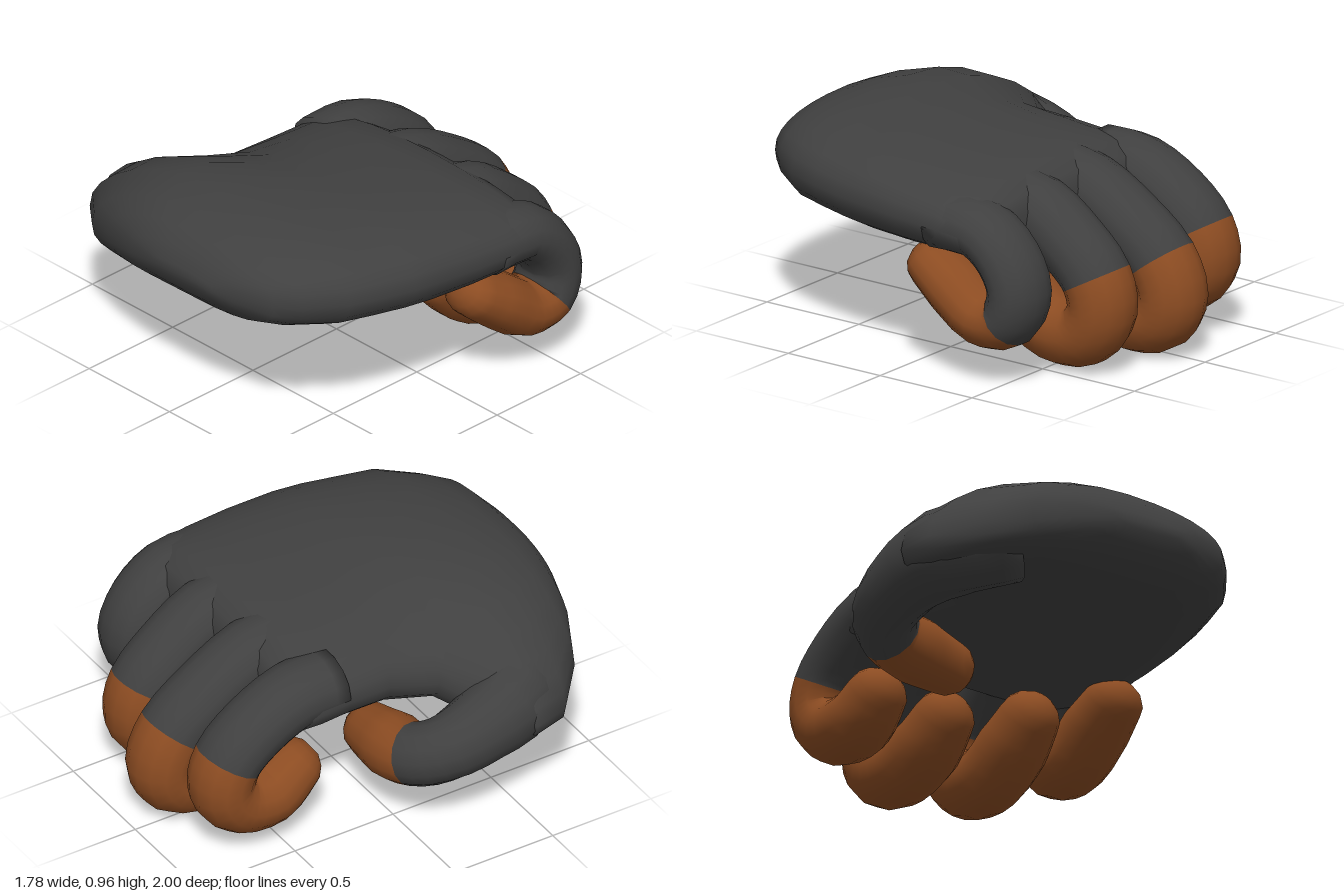
import * as THREE from 'three';

const SIDES = 14, STEPS = 3;

// Stitch rings of equal size into a closed skin; rings from splitRing on use the second material.
function skinRings(rings, splitRing = Infinity) {
  const n = rings[0].length, pos = [], glove = [], bare = [];
  rings.forEach(r => r.forEach(p => pos.push(p.x, p.y, p.z)));
  for (let i = 0; i < rings.length - 1; i++) {
    const out = i < splitRing ? glove : bare;
    for (let j = 0; j < n; j++) {
      const a = i * n + j, b = i * n + (j + 1) % n;
      out.push(a, b, b + n, a, b + n, a + n);
    }
  }
  // Close both ends with a centre point
  const cap = (ring, base, flip, out) => {
    const c = ring.reduce((s, p) => s.add(p), new THREE.Vector3()).divideScalar(n);
    const k = pos.length / 3;
    pos.push(c.x, c.y, c.z);
    for (let j = 0; j < n; j++) {
      const a = base + j, b = base + (j + 1) % n;
      out.push(...(flip ? [k, b, a] : [k, a, b]));
    }
  };
  cap(rings[0], 0, true, glove);
  cap(rings.at(-1), (rings.length - 1) * n, false, splitRing < Infinity ? bare : glove);
  const g = new THREE.BufferGeometry();
  g.setAttribute('position', new THREE.Float32BufferAttribute(pos, 3));
  g.setIndex([...glove, ...bare]);
  g.addGroup(0, glove.length, 0);
  if (bare.length) g.addGroup(glove.length, bare.length, 1);
  g.computeVertexNormals();
  return g;
}

// Sweep an oval along a path and finish it with a rounded tip.
// Each radius is [along ref, across ref]; split is the path point where the glove ends.
function digit(points, radii, ref, split) {
  const curve = new THREE.CatmullRomCurve3(points);
  const segs = points.length - 1, rings = [];
  const ring = (c, t, ra, rb) => {
    const a = ref.clone().addScaledVector(t, -ref.dot(t)).normalize();
    const b = t.clone().cross(a);
    rings.push(Array.from({ length: SIDES }, (_, j) => {
      const w = j / SIDES * Math.PI * 2;
      return c.clone().addScaledVector(a, ra * Math.cos(w)).addScaledVector(b, rb * Math.sin(w));
    }));
  };
  for (let i = 0; i <= segs * STEPS; i++) {
    const k = Math.min(Math.floor(i / STEPS), segs - 1), f = i / STEPS - k;
    const u = i / (segs * STEPS);
    const r = [0, 1].map(m => THREE.MathUtils.lerp(radii[k][m], radii[k + 1][m], f));
    ring(curve.getPoint(u), curve.getTangent(u), r[0], r[1]);
  }
  const end = curve.getPoint(1), dir = curve.getTangent(1), [ra, rb] = radii[segs];
  for (const w of [0.4, 0.8, 1.2]) {
    ring(end.clone().addScaledVector(dir, rb * 0.95 * Math.sin(w)), dir, ra * Math.cos(w), rb * Math.cos(w));
  }
  return skinRings(rings, split * STEPS);
}

export function createModel() {
  const group = new THREE.Group();
  const glove = new THREE.MeshStandardMaterial({ name: 'charcoal glove', color: 0x404040 });
  const skin = new THREE.MeshStandardMaterial({ name: 'brown skin', color: 0x8c4c22 });
  const add = (name, geometry) => {
    const mesh = new THREE.Mesh(geometry, [glove, skin]);
    mesh.name = name;
    group.add(mesh);
  };

  // Palm: rounded sections from wrist to knuckles [z, left x, right x, top, bottom, thumb-side drop]
  const sections = [
    [1.0, -0.1, 0.27, 0.76, 0.69, 0],
    [0.97, -0.28, 0.38, 0.83, 0.63, 0.03],
    [0.91, -0.48, 0.56, 0.89, 0.57, 0.07],
    [0.82, -0.67, 0.65, 0.925, 0.53, 0.14],
    [0.66, -0.85, 0.77, 0.96, 0.5, 0.2],
    [0.5, -0.88, 0.82, 0.955, 0.49, 0.21],
    [0.35, -0.7, 0.86, 0.945, 0.49, 0.16],
    [0.22, -0.53, 0.88, 0.935, 0.49, 0.08],
    [0.0, -0.48, 0.9, 0.91, 0.49, 0.03],
    [-0.2, -0.48, 0.905, 0.885, 0.49, 0.02],
    [-0.34, -0.48, 0.905, 0.855, 0.49, 0.02],
    [-0.42, -0.46, 0.88, 0.8, 0.5, 0.02],
    [-0.45, -0.4, 0.82, 0.73, 0.53, 0],
  ];
  const power = (v, e) => Math.sign(v) * Math.abs(v) ** e;
  add('palm', skinRings(sections.map(([z, l, r, top, bottom, drop]) =>
    Array.from({ length: 28 }, (_, j) => {
      const w = j / 28 * Math.PI * 2;
      const s = power(Math.cos(w), 0.83);
      const y = (top + bottom) / 2 - (top - bottom) / 2 * power(Math.sin(w), 0.83);
      return new THREE.Vector3((l + r) / 2 + s * (r - l) / 2, y - (s < 0 ? drop * s * s : 0), z);
    }))));

  // Curled fingers: centre x, half thickness, glove end point, path as [z, y]
  const fingers = [
    ['indexFinger', -0.318, 0.145, 3,
      [[-0.2, 0.69], [-0.4, 0.685], [-0.6, 0.59], [-0.73, 0.47], [-0.76, 0.34], [-0.68, 0.24], [-0.52, 0.23], [-0.4, 0.31]]],
    ['middleFinger', 0.033, 0.15, 3,
      [[-0.2, 0.72], [-0.4, 0.69], [-0.62, 0.57], [-0.79, 0.435], [-0.85, 0.29], [-0.8, 0.185], [-0.66, 0.15], [-0.5, 0.2], [-0.38, 0.29]]],
    ['ringFinger', 0.39, 0.15, 3,
      [[-0.2, 0.71], [-0.4, 0.68], [-0.58, 0.56], [-0.71, 0.43], [-0.74, 0.29], [-0.66, 0.18], [-0.5, 0.165], [-0.35, 0.25], [-0.24, 0.34]]],
    ['littleFinger', 0.743, 0.128, 4,
      [[-0.15, 0.68], [-0.36, 0.675], [-0.5, 0.57], [-0.56, 0.43], [-0.51, 0.3], [-0.38, 0.285], [-0.22, 0.39], [-0.1, 0.47]]],
  ];
  for (const [name, x, thick, split, path] of fingers) {
    const points = path.map(([z, y]) => new THREE.Vector3(x, y, z));
    const radii = path.map((_, i) => i === path.length - 1 ? [0.14, thick * 0.88] : [0.162, thick]);
    add(name, digit(points, radii, new THREE.Vector3(1, 0, 0), split));
  }

  // Thumb: leaves the heel of the hand and bends in below the palm
  const thumbPath = [
    [-0.42, 0.64, 0.68], [-0.66, 0.55, 0.52], [-0.71, 0.48, 0.31], [-0.68, 0.41, 0.13],
    [-0.58, 0.36, 0.045], [-0.44, 0.33, 0.035], [-0.27, 0.3, 0.035],
  ].map(p => new THREE.Vector3(...p));
  const thumbRadii = [0.2, 0.2, 0.165, 0.145, 0.14, 0.15, 0.125].map(r => [r, r]);
  add('thumb', digit(thumbPath, thumbRadii, new THREE.Vector3(0, 1, 0), 4));

  return group;
}
